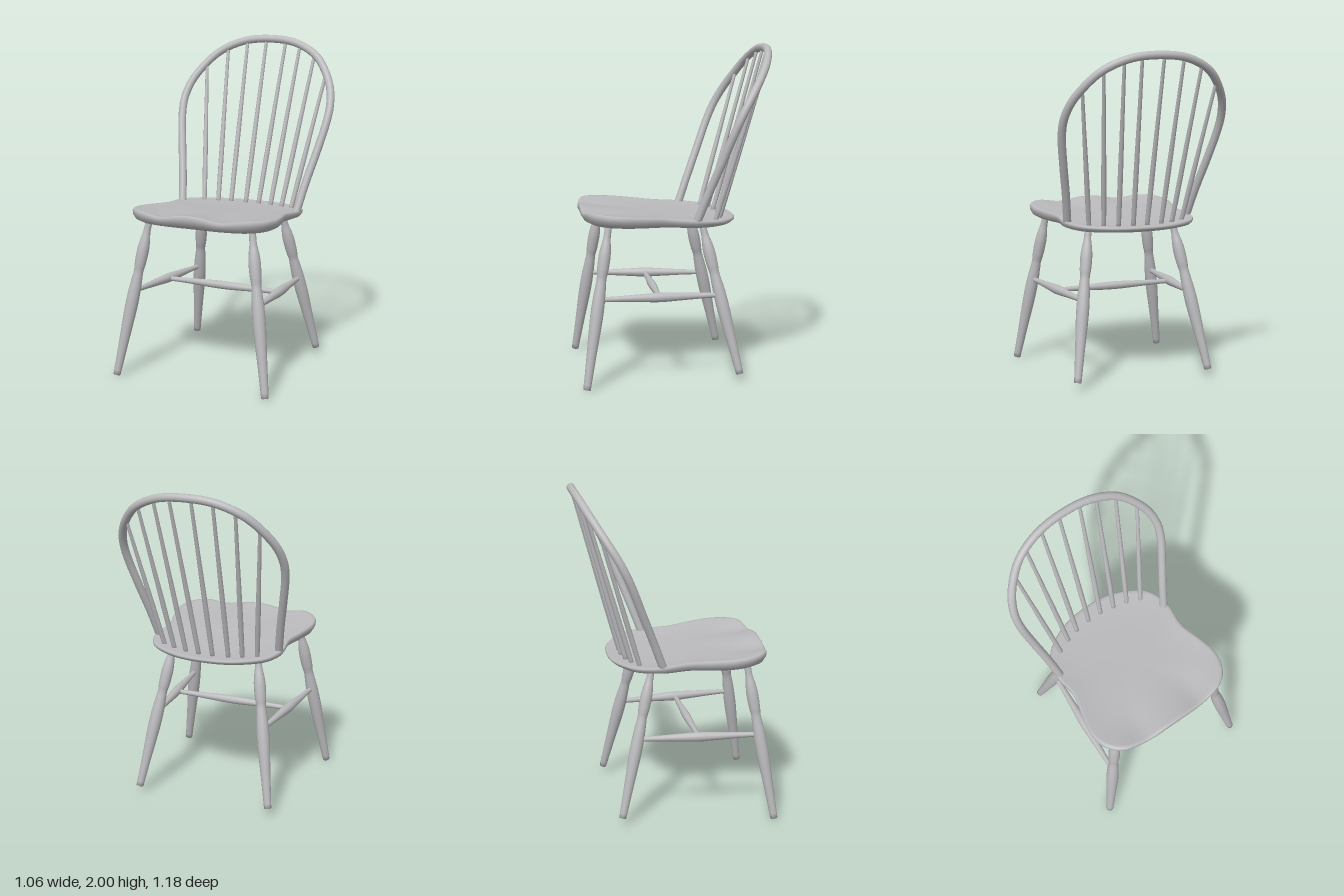
import * as THREE from 'three';

const V = (x, y, z) => new THREE.Vector3(x, y, z);

export function createModel() {
  const chair = new THREE.Group();
  chair.name = 'chair';
  const paint = new THREE.MeshStandardMaterial({ color: 0xbababd });
  paint.name = 'pale grey';

  function add(name, geometry) {
    const mesh = new THREE.Mesh(geometry, paint);
    mesh.name = name;
    chair.add(mesh);
    return mesh;
  }

  // Lathe-turned rod between two points; profile holds [fraction, radius] pairs
  function turned(name, from, to, profile, sides = 16) {
    const dir = to.clone().sub(from);
    const length = dir.length();
    const smooth = new THREE.SplineCurve(profile.map(([t, r]) => new THREE.Vector2(r, t * length)));
    const points = [
      new THREE.Vector2(0, 0),
      ...smooth.getPoints(profile.length * 4),
      new THREE.Vector2(0, length),
    ];
    const mesh = add(name, new THREE.LatheGeometry(points, sides));
    mesh.position.copy(from);
    mesh.quaternion.setFromUnitVectors(V(0, 1, 0), dir.normalize());
    return mesh;
  }

  // Saddle seat: concentric rings over the top, around the edge and underneath
  const half = [[0.15, -0.365], [0.28, -0.312], [0.37, -0.24], [0.418, -0.11], [0.405, 0.07],
    [0.44, 0.21], [0.463, 0.34], [0.438, 0.45], [0.36, 0.53], [0.2, 0.563]];
  const outline = new THREE.CatmullRomCurve3([
    V(0, 0, -0.38), ...half.map(([x, z]) => V(x, 0, z)),
    V(0, 0, 0.57), ...half.map(([x, z]) => V(-x, 0, z)).reverse(),
  ], true).getPoints(96);
  const topY = (x, z, s) => {
    const dish = 0.02 * (1 - s ** 4);
    const front = THREE.MathUtils.smoothstep(z, 0.2, 0.55);
    const thighHollow = 0.024 * front * Math.exp(-(((Math.abs(x) - 0.2) / 0.1) ** 2));
    return 0.994 + 0.078 * z - dish - thighHollow;
  };
  const bottomY = (z) => 0.933 + 0.025 * z;
  // [scale of outline, depth from top surface to underside]
  const rings = [[0.001, 0], [0.2, 0], [0.4, 0], [0.6, 0], [0.75, 0], [0.87, 0], [0.95, 0], [0.985, 0.03],
    [1, 0.2], [0.995, 0.45], [0.965, 0.75], [0.9, 0.95], [0.82, 1], [0.4, 1], [0.001, 1]];
  const positions = [], indices = [];
  const n = outline.length - 1;
  rings.forEach(([s, depth], i) => {
    for (let j = 0; j < n; j++) {
      const x = outline[j].x * s;
      const z = 0.1 + (outline[j].z - 0.1) * s;
      positions.push(x, THREE.MathUtils.lerp(topY(x, z, s), bottomY(z), depth), z);
      if (i === rings.length - 1) continue;
      const k = (j + 1) % n;
      const a = i * n + j, b = a + n, c = (i + 1) * n + k, d = i * n + k;
      indices.push(a, c, b, a, d, c);
    }
  });
  const seat = new THREE.BufferGeometry();
  seat.setAttribute('position', new THREE.Float32BufferAttribute(positions, 3));
  seat.setIndex(indices);
  seat.computeVertexNormals();
  add('seat', seat);

  // Bent bow of the back
  const side = [[0.39, 0.96, -0.095], [0.425, 1.15, -0.165], [0.465, 1.33, -0.235], [0.498, 1.5, -0.3],
    [0.503, 1.6, -0.345], [0.48, 1.7, -0.4], [0.42, 1.8, -0.462], [0.33, 1.89, -0.517], [0.18, 1.957, -0.557]];
  const bow = new THREE.CatmullRomCurve3([
    ...side.map(([x, y, z]) => V(-x, y, z)), V(0, 1.976, -0.57),
    ...side.map(([x, y, z]) => V(x, y, z)).reverse(),
  ]);
  add('backBow', new THREE.TubeGeometry(bow, 120, 0.0245, 14));

  // Spindles run from the seat up to the matching spot on the bow
  const bowPoints = bow.getSpacedPoints(400).filter((p) => p.y > 1.68);
  const spindles = [[-0.3, -0.22, -0.405], [-0.22, -0.257, -0.285], [-0.14, -0.28, -0.155], [-0.043, -0.292, -0.028],
    [0.046, -0.292, 0.105], [0.135, -0.278, 0.215], [0.22, -0.255, 0.325], [0.3, -0.22, 0.432]];
  for (const [x, z, topX] of spindles) {
    const top = bowPoints.reduce((best, p) => (Math.abs(p.x - topX) < Math.abs(best.x - topX) ? p : best));
    turned('spindle', V(x, 0.95, z), top.clone(),
      [[0, 0.014], [0.3, 0.0155], [0.7, 0.012], [1, 0.01]], 10);
  }

  // Splayed legs and stretchers
  const legProfile = [[0, 0.022], [0.2, 0.029], [0.42, 0.038], [0.54, 0.037], [0.62, 0.032], [0.67, 0.029],
    [0.72, 0.034], [0.8, 0.036], [0.86, 0.031], [0.92, 0.022], [1, 0.021]];
  const stretcherProfile = [[0, 0.015], [0.15, 0.017], [0.35, 0.024], [0.5, 0.029], [0.65, 0.024], [0.85, 0.017], [1, 0.015]];
  for (const s of [1, -1]) {
    const name = s > 0 ? 'left' : 'right';
    turned(name + 'FrontLeg', V(s * 0.496, 0.007, 0.567), V(s * 0.34, 0.96, 0.418), legProfile);
    turned(name + 'BackLeg', V(s * 0.427, 0.052, -0.354), V(s * 0.275, 0.95, -0.145), legProfile);
    turned(name + 'SideStretcher', V(s * 0.41, 0.525, 0.486), V(s * 0.35, 0.52, -0.25), stretcherProfile);
  }
  turned('crossStretcher', V(-0.382, 0.52, 0.12), V(0.382, 0.52, 0.12),
    [[0, 0.014], [0.2, 0.017], [0.5, 0.025], [0.8, 0.017], [1, 0.014]]);

  return chair;
}
